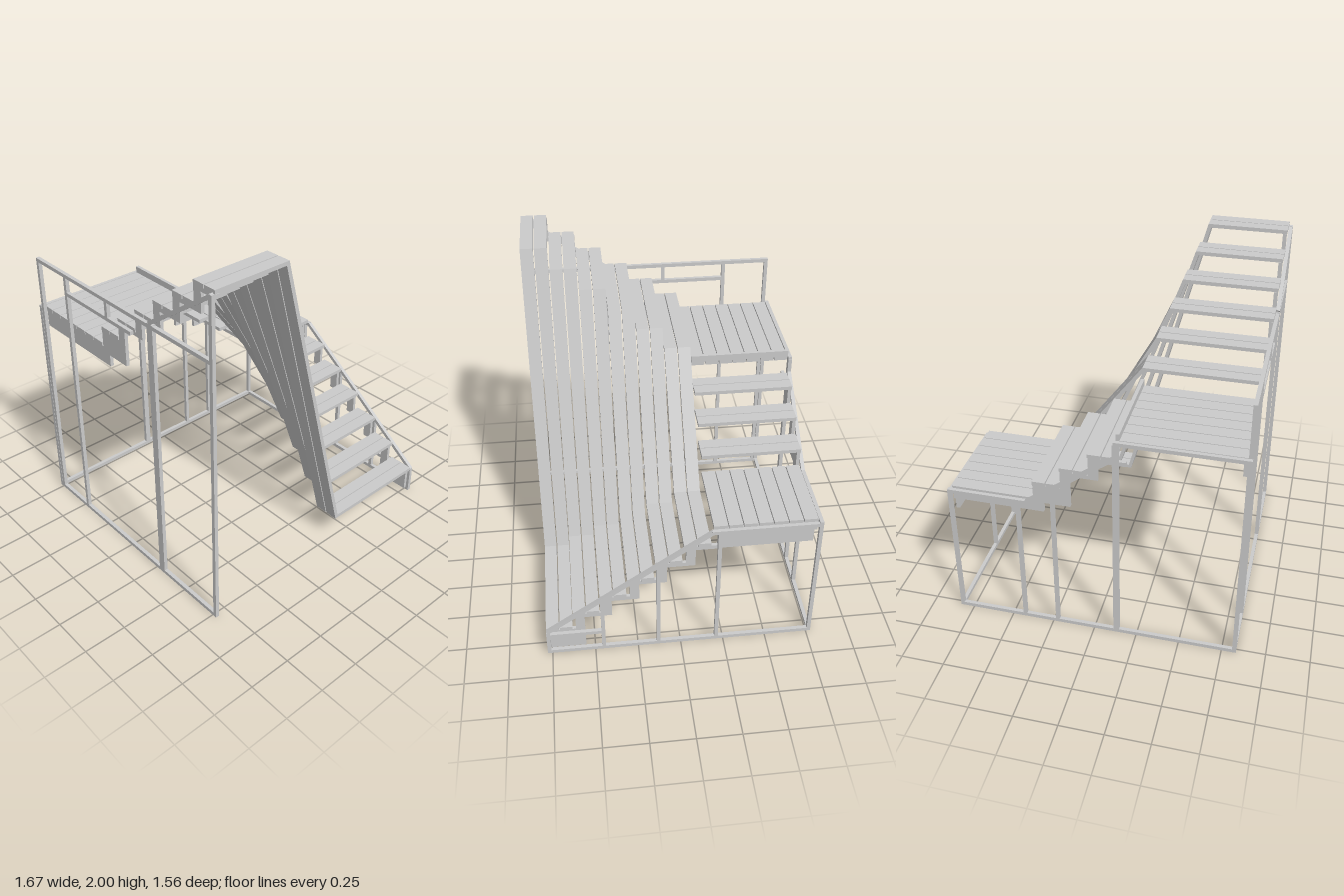
import * as THREE from 'three';

const mat = new THREE.MeshStandardMaterial({ color: 0xcccccc, flatShading: true });
const RUN = 0.158, RISE = 0.114, T = 0.022;   // step depth, step height, plank thickness
const BAR = 0.022, SIDE = 0.822, BACK = -0.767; // tube size and wall planes

export function createModel() {
  const model = new THREE.Group();
  const group = (name) => {
    const g = new THREE.Group();
    g.name = name;
    model.add(g);
    return g;
  };
  const add = (parent, name, geo) => {
    const m = new THREE.Mesh(geo, mat);
    m.name = name;
    parent.add(m);
    return m;
  };
  // box from its minimum and maximum on each axis
  const box = (parent, name, x0, x1, y0, y1, z0, z1) => {
    const m = add(parent, name, new THREE.BoxGeometry(x1 - x0, y1 - y0, z1 - z0));
    m.position.set((x0 + x1) / 2, (y0 + y1) / 2, (z0 + z1) / 2);
    return m;
  };
  // square tube between two points
  const bar = (parent, name, a, b) => {
    const p = new THREE.Vector3(...a), q = new THREE.Vector3(...b);
    const m = add(parent, name, new THREE.BoxGeometry(BAR, BAR, p.distanceTo(q)));
    m.position.copy(p).add(q).multiplyScalar(0.5);
    m.lookAt(q);
    return m;
  };
  const post = (parent, x, z, h, w = BAR, d = BAR) =>
    box(parent, 'post', x - w / 2, x + w / 2, 0, h, z - d / 2, z + d / 2);
  const extrude = (pts, depth) => new THREE.ExtrudeGeometry(
    new THREE.Shape(pts.map(([x, y]) => new THREE.Vector2(x, y))), { depth, bevelEnabled: false });

  // folded bands: low tread, slanted run and high tread, two planks each
  const bands = group('foldedBands');
  for (let i = 0; i < 6; i++) {
    const xR = 0.13 + 0.047 * i, xL = -0.35 + 0.043 * i;
    const yR = 0.183 + RISE * i, yL = 2 - RISE * i;
    const len = Math.hypot(xL - xR, yL - yR);
    const shift = -T * (1 - (xR - xL) / len) / ((yL - yR) / len); // mitred corner
    const profile = [
      [0.812, yR], [xR, yR], [xL, yL], [-0.812, yL],
      [-0.812, yL - T], [xL + shift, yL - T], [xR + shift, yR - T], [0.812, yR - T]];
    for (let k = 0; k < 2; k++) {
      const plank = add(bands, 'bandPlank', extrude(profile, 0.073));
      plank.position.z = 0.777 - RUN * i - 0.079 * k - 0.073;
    }
  }

  // two platforms with planks along x
  for (const [name, x0, x1, top] of [
    ['highPlatform', -0.812, -0.13, 1.326], ['lowPlatform', 0.34, 0.812, 0.873]]) {
    const g = group(name);
    for (let k = 0; k < 7; k++) {
      const z = -0.175 - 0.083 * k;
      box(g, 'platformPlank', x0, x1, top - T, top, z - 0.078, z);
    }
  }
  box(group('platformCurb'), 'curb', -0.15, -0.13, 1.326, 1.365, -0.755, -0.175);

  // steps that link the platforms, planks along z
  const steps = group('linkSteps');
  for (let i = 0; i < 3; i++) {
    for (let k = 0; k < 2; k++) {
      const x1 = 0.34 - 0.157 * i - 0.0785 * k, top = 0.986 + RISE * i;
      box(steps, 'stepPlank', x1 - 0.073, x1, top - T, top, -0.755, -0.175);
    }
  }

  // stepped stringer boards; s runs uphill and map turns it into a coordinate
  const stringerPoints = (n, y0, map, foot, end) => {
    const upper = [], lower = [];
    for (let k = 0; k < n; k++) {
      const y = y0 + RISE * k;
      upper.push([k * RUN + 0.002, y], [(k + 1) * RUN + 0.002, y]);
      const low = k === 0 && foot !== undefined ? foot : y - 0.025;
      const s0 = k === 0 ? 0.002 : k * RUN + 0.055;
      lower.push([s0, low], [k === n - 1 ? end : (k + 1) * RUN + 0.055, low]);
    }
    upper.push([end, y0 + RISE * (n - 1)]);
    return [...upper, ...lower.reverse()].map(([s, y]) => [map(s), y]);
  };
  const supports = group('stringers');
  const sideStringer = (name, pts, x) => {
    const m = add(supports, name, extrude(pts, 0.02).rotateY(-Math.PI / 2));
    m.position.x = x + 0.01;
  };
  sideStringer('lowStairStringer', stringerPoints(6, 0.161, (s) => 0.765 - s, 0.02, 6 * RUN + 0.04), 0.798);
  sideStringer('highStairStringer', stringerPoints(6, 1.408, (s) => s - 0.17, 1.27, 6 * RUN - 0.01), -0.798);
  const linkStringer = add(supports, 'linkStringer',
    extrude(stringerPoints(3, 0.964, (s) => 0.34 - s, 0.85, 3 * RUN + 0.05), 0.02));
  linkStringer.position.z = -0.752;
  box(supports, 'lowPlatformSideBeam', 0.788, 0.808, 0.71, 0.85, -0.735, -0.2);
  box(supports, 'lowPlatformBackBeam', 0.28, 0.808, 0.79, 0.851, -0.752, -0.732);
  box(supports, 'highPlatformSideBeam', -0.808, -0.788, 1.2, 1.304, -0.735, -0.11);

  // low side wall: base, posts, sloped rail
  const low = group('lowSideFrame');
  const B = BAR / 2;
  bar(low, 'baseRail', [SIDE, B, 0.778], [SIDE, B, -0.778]);
  for (const [z, h] of [[0.767, 0.17], [0.45, 0.4], [0.13, 0.63], [-0.21, 0.83], [BACK, 0.85]])
    post(low, SIDE, z, h);
  bar(low, 'slopedRail', [SIDE, 0.168, 0.77], [SIDE, 0.841, -0.17]);
  bar(low, 'topRail', [SIDE, 0.841, -0.165], [SIDE, 0.841, -0.778]);
  bar(low, 'footRail', [SIDE, 0.14, 0.765], [SIDE, 0.14, 0.45]);

  // high side wall: base, posts, guard rails, sloped rail
  const high = group('highSideFrame');
  bar(high, 'baseRail', [-SIDE, B, 0.778], [-SIDE, B, -0.778]);
  post(high, -SIDE, 0.767, 1.98);
  post(high, -SIDE, 0.3, 1.64, BAR, 0.045);
  post(high, -SIDE, -0.467, 1.63);
  post(high, -SIDE, -0.742, 1.63);
  bar(high, 'guardRail', [-SIDE, 1.625, 0.765], [-SIDE, 1.625, -0.753]);
  bar(high, 'middleRail', [-SIDE, 1.515, 0.13], [-SIDE, 1.515, -0.467]);
  bar(high, 'shortGuardPost', [-SIDE, 1.515, -0.08], [-SIDE, 1.625, -0.08]);
  bar(high, 'slopedRail', [-SIDE, 1.975, 0.77], [-SIDE, 1.64, 0.29]);

  // back wall: base, posts, top rails joined by a slope
  const back = group('backFrame');
  bar(back, 'baseRail', [-0.833, B, BACK], [0.833, B, BACK]);
  post(back, -SIDE, BACK, 1.32);
  post(back, -0.132, BACK, 1.31, 0.034);
  post(back, 0.223, BACK, 0.96);
  post(back, 0.425, BACK, 0.85);
  bar(back, 'highTopRail', [-0.833, 1.315, BACK], [-0.12, 1.315, BACK]);
  bar(back, 'slopedRail', [-0.13, 1.225, BACK], [0.38, 0.85, BACK]);
  bar(back, 'lowTopRail', [0.37, 0.852, BACK], [0.833, 0.852, BACK]);

  return model;
}
